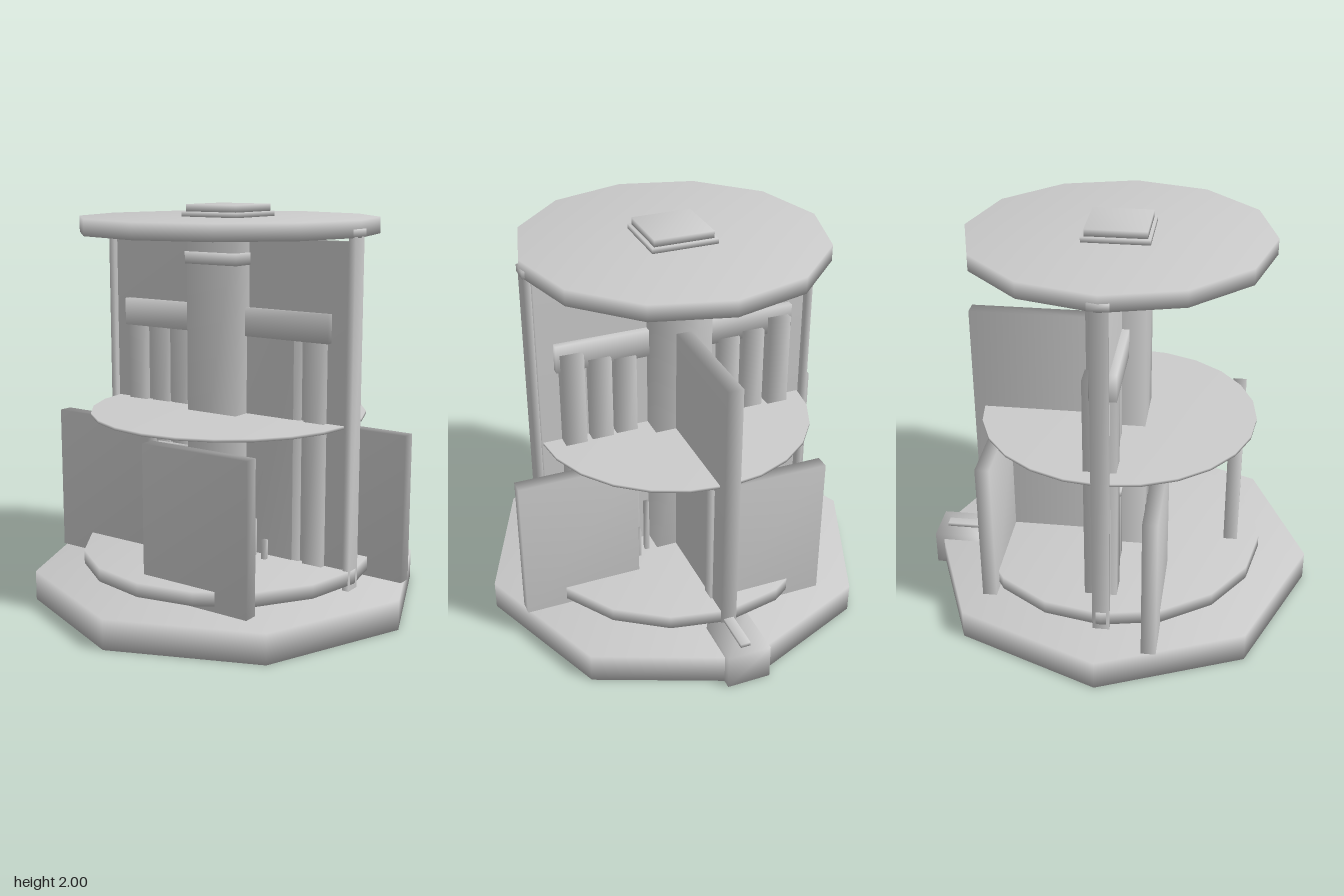
import * as THREE from 'three';
import { mergeVertices } from 'three/addons/utils/BufferGeometryUtils.js';

const grey = new THREE.MeshStandardMaterial({ color: 0xcccccc });

// Weld all corners so the shading runs smoothly round every edge
function soften(geometry) {
  geometry.deleteAttribute('normal');
  geometry.deleteAttribute('uv');
  const welded = mergeVertices(geometry, 1e-4);
  welded.computeVertexNormals();
  return welded;
}

export function createModel() {
  const model = new THREE.Group();

  function add(name, geometry, x, y, z) {
    const mesh = new THREE.Mesh(soften(geometry), grey);
    mesh.name = name;
    mesh.position.set(x, y, z);
    model.add(mesh);
    return mesh;
  }
  // Box given by its limits on each axis
  function box(name, [x0, x1], [y0, y1], [z0, z1]) {
    return add(name, new THREE.BoxGeometry(x1 - x0, y1 - y0, z1 - z0),
      (x0 + x1) / 2, (y0 + y1) / 2, (z0 + z1) / 2);
  }
  function disc(name, radius, y0, y1, sides) {
    return add(name, new THREE.CylinderGeometry(radius, radius, y1 - y0, sides), 0, (y0 + y1) / 2, 0);
  }

  // Stacked round floors
  disc('base', 1, 0, 0.15, 8);
  disc('pedestal', 0.55, 0.15, 0.18, 16);
  disc('lowerDisc', 0.75, 0.18, 0.25, 16);
  disc('middleDisc', 0.7, 0.953, 0.968, 24);
  disc('roof', 0.75, 1.86, 1.94, 12);

  // Square central column with collar and cap
  box('column', [-0.148, 0.148], [0.15, 1.94], [-0.148, 0.148]);
  box('collar', [-0.155, 0.155], [1.71, 1.77], [-0.155, 0.155]);
  box('capPlate', [-0.165, 0.165], [1.94, 1.965], [-0.165, 0.165]);
  box('cap', [-0.15, 0.15], [1.965, 2], [-0.15, 0.15]);

  // Dividing wall, its cross beam and the rear fin
  box('wall', [-0.7, 0.7], [0.18, 1.84], [-0.03, 0.03]);
  box('crossBeam', [-0.62, 0.62], [1.36, 1.5], [-0.065, 0.065]);
  box('rearFin', [-0.04, 0.04], [0.18, 1.5], [-0.75, -0.14]);
  box('wallPanel', [0.14, 0.42], [0.25, 1.36], [0, 0.05]);

  // Side posts with small heads, and upright slats on both sides
  for (const side of [-1, 1]) {
    const span = (a, b) => [Math.min(side * a, side * b), Math.max(side * a, side * b)];
    box('sidePost', span(0.71, 0.745), [0.15, 1.87], [-0.042, 0.042]);
    box('postHead', span(0.705, 0.75), [1.865, 1.9], [-0.05, 0.05]);
    box('outerSlat', span(0.49, 0.6), [0.25, 1.45], [-0.1, 0.06]);
    box('middleSlat', span(0.35, 0.46), [0.25, 1.4], [-0.09, 0.045]);
    box('innerSlat', span(0.22, 0.33), [0.25, 1.38], [-0.08, 0.04]);
  }

  // Four standing screens in a pinwheel, all facing the front
  for (const [x, z] of [[0.25, 0.6], [-0.6, 0.25], [-0.25, -0.6], [0.6, -0.25]]) {
    box('screen', [x - 0.3, x + 0.3], [0.15, 0.9], [z - 0.036, z + 0.036]);
  }

  // Short stubs round the foot of the column, and a small rail
  for (const [x, top, z] of [
    [-0.16, 0.5, 0.165], [-0.065, 0.5, 0.165], [0.22, 0.44, 0.09], [0.3, 0.35, 0.11],
    [0.2, 0.55, -0.13], [-0.2, 0.5, -0.145], [0.26, 0.42, -0.17],
  ]) {
    box('stub', [x - 0.012, x + 0.012], [0.25, top], [z - 0.012, z + 0.012]);
  }
  box('rail', [-0.42, -0.14], [0.72, 0.75], [0.02, 0.06]);

  // Rear block on the base with a thin strip on top
  box('rearBlock', [-0.11, 0.11], [0, 0.18], [-1, -0.73]);
  box('rearStrip', [-0.025, 0.025], [0.18, 0.2], [-0.95, -0.74]);

  return model;
}
